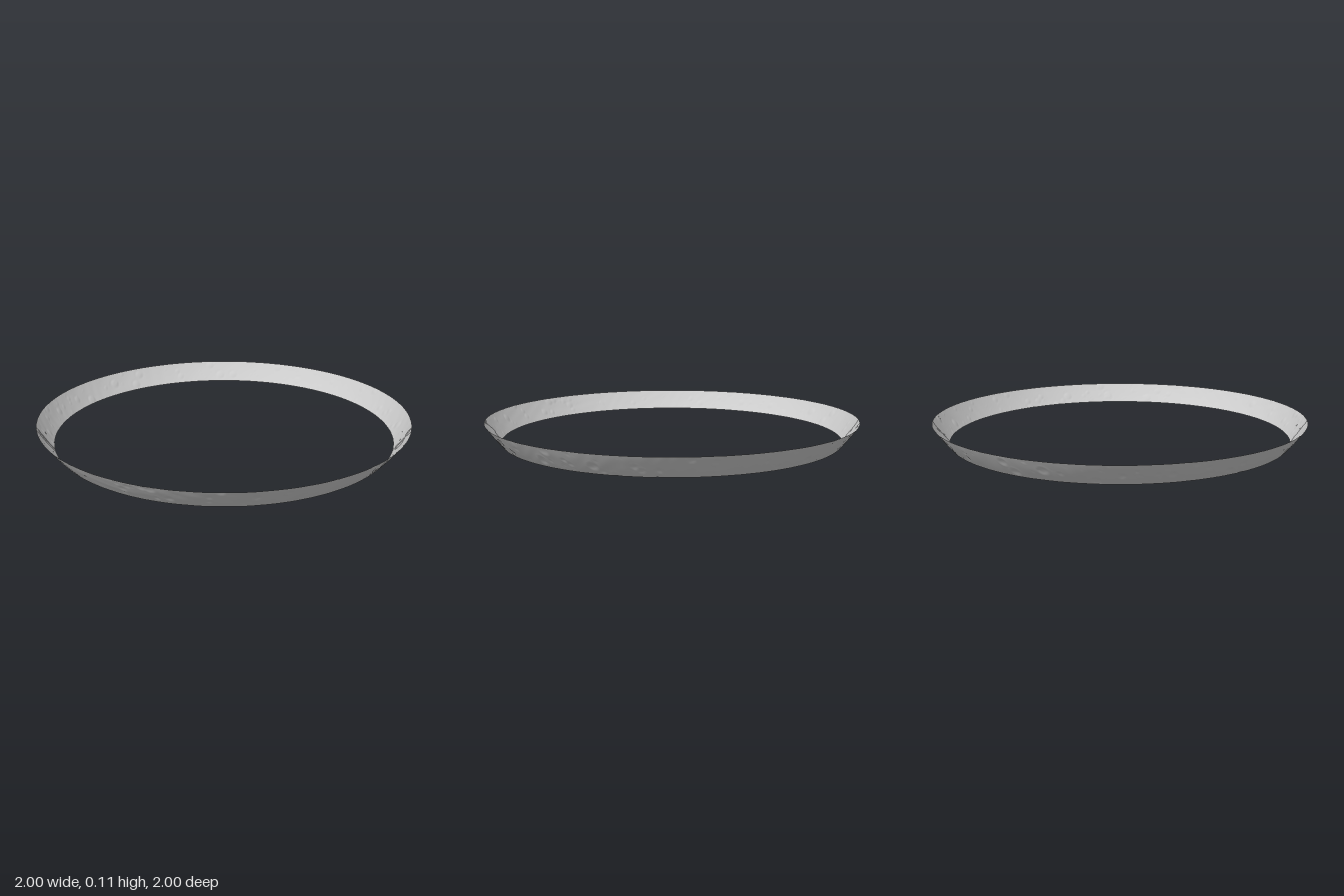
import * as THREE from 'three';
import { mergeVertices } from 'three/addons/utils/BufferGeometryUtils.js';

const HEIGHT = 0.11, R_TOP = 1.0, R_BOTTOM = 0.915;

// The band is a slice of a large sphere whose centre lies above it on the axis
const RISE = (R_TOP ** 2 - R_BOTTOM ** 2 - HEIGHT ** 2) / (2 * HEIGHT);
const RADIUS = Math.hypot(R_TOP, RISE);
const CENTRE_Y = HEIGHT + RISE;

function seeded(seed) {
  return () => (seed = (seed * 16807) % 2147483647) / 2147483647;
}

// Small craters scattered around the band
function makeCraters(count) {
  const rand = seeded(41);
  return Array.from({ length: count }, () => {
    const a = rand() * Math.PI * 2, y = rand() * HEIGHT;
    const r = Math.sqrt(RADIUS ** 2 - (CENTRE_Y - y) ** 2);
    return {
      centre: new THREE.Vector3(Math.cos(a) * r, y, Math.sin(a) * r),
      size: 0.007 + 0.022 * rand() ** 3,
    };
  });
}

// Bowl with a raised rim that fades out
function craterHeight(t) {
  if (t > 1.6) return 0;
  return t < 1 ? t * t * 1.3 - 1 : 0.3 * ((1.6 - t) / 0.6) ** 2;
}

function bandGeometry() {
  const profile = [];
  for (let i = 0; i <= 18; i++) {
    const y = (HEIGHT * i) / 18;
    profile.push(new THREE.Vector2(Math.sqrt(RADIUS ** 2 - (CENTRE_Y - y) ** 2), y));
  }
  let geo = new THREE.LatheGeometry(profile, 900);
  geo.deleteAttribute('uv');
  geo.deleteAttribute('normal');
  geo = mergeVertices(geo, 1e-5);

  // Push the surface in and out along the sphere's radius
  const craters = makeCraters(220);
  const pos = geo.attributes.position;
  const p = new THREE.Vector3(), out = new THREE.Vector3();
  for (let i = 0; i < pos.count; i++) {
    p.fromBufferAttribute(pos, i);
    let h = 0.0004 * Math.sin(p.x * 37 + 3 * Math.sin(p.z * 19)) * Math.sin(p.z * 43 + p.y * 60);
    for (const c of craters) {
      h += 0.08 * c.size * craterHeight(p.distanceTo(c.centre) / c.size);
    }
    out.set(p.x, p.y - CENTRE_Y, p.z).normalize();
    p.addScaledVector(out, THREE.MathUtils.clamp(h, -0.002, 0.001));
    pos.setXYZ(i, p.x, Math.max(p.y, 0), p.z);
  }
  geo.computeVertexNormals();
  return geo;
}

export function createModel() {
  const group = new THREE.Group();
  const material = new THREE.MeshStandardMaterial({ color: 0xcccccc, side: THREE.DoubleSide });
  const band = new THREE.Mesh(bandGeometry(), material);
  band.name = 'crateredBand';
  group.add(band);
  return group;
}
